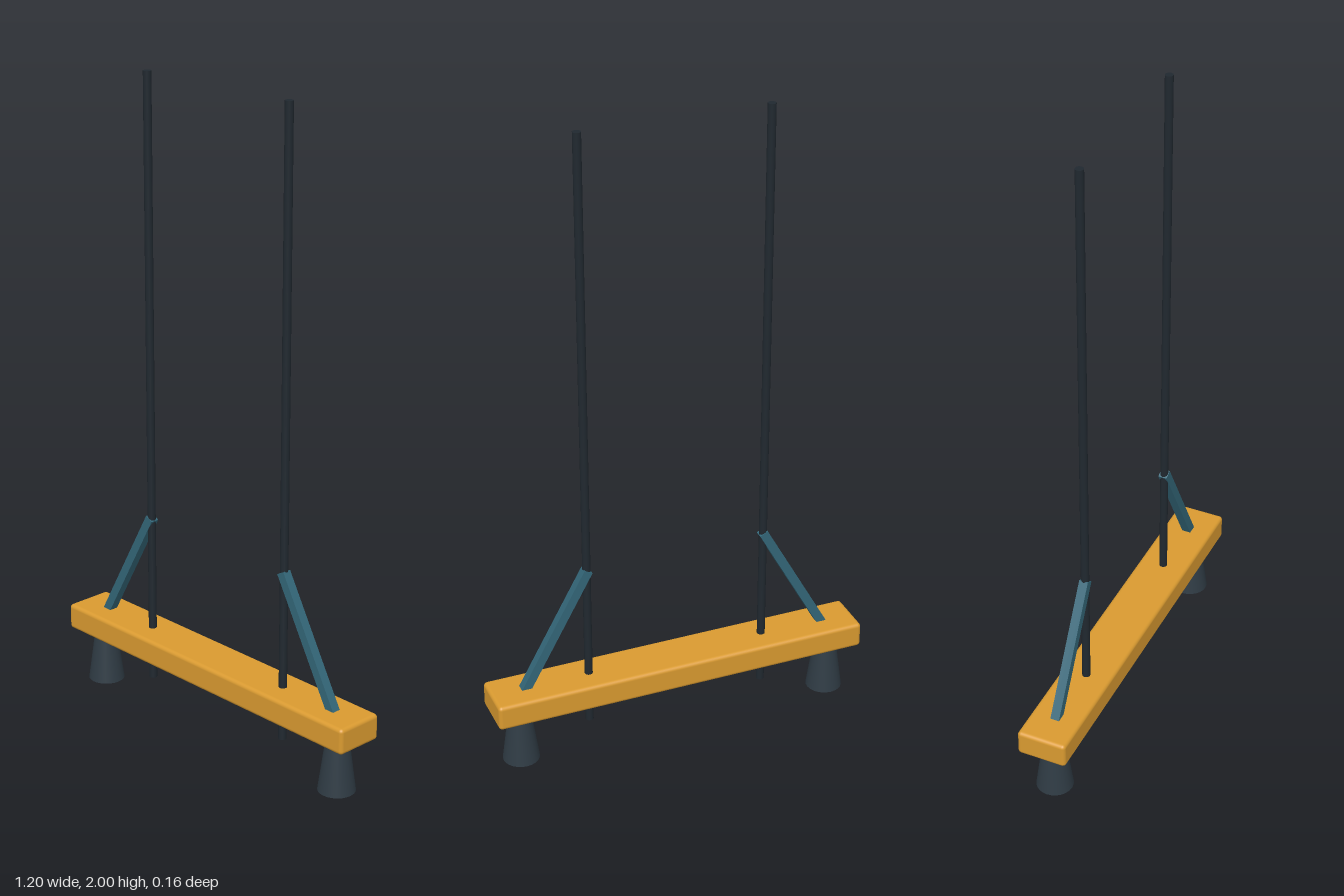
import * as THREE from 'three';
import { RoundedBoxGeometry } from 'three/addons/geometries/RoundedBoxGeometry.js';

export function createModel() {
  const group = new THREE.Group();
  const material = (color) => new THREE.MeshStandardMaterial({ color });
  const wood = material(0xd99a30);
  const steel = material(0x20282f);
  const rubber = material(0x2f3b44);
  const paint = material(0x336678);

  const add = (name, geometry, mat, x, y) => {
    const mesh = new THREE.Mesh(geometry, mat);
    mesh.name = name;
    mesh.position.set(x, y, 0);
    group.add(mesh);
    return mesh;
  };

  // Beam with softly rounded edges
  add('beam', new RoundedBoxGeometry(1.2, 0.082, 0.156, 3, 0.012), wood, 0, 0.209);

  const rodGeometry = new THREE.CylinderGeometry(0.0125, 0.0125, 1.92, 16);
  const footGeometry = new THREE.CylinderGeometry(0.034, 0.057, 0.17, 24);

  // Square brace running from the rod down into the beam
  const top = new THREE.Vector2(0.285, 0.618);
  const bottom = new THREE.Vector2(0.51, 0.213);
  const run = bottom.clone().sub(top);
  const middle = top.clone().add(bottom).multiplyScalar(0.5);
  const braceGeometry = new THREE.BoxGeometry(0.028, run.length(), 0.028);

  for (const side of [1, -1]) {
    const label = side > 0 ? 'left' : 'right';
    add(label + 'Rod', rodGeometry, steel, side * 0.287, 1.04);
    add(label + 'Foot', footGeometry, rubber, side * 0.512, 0.085);
    const brace = add(label + 'Brace', braceGeometry, paint, side * middle.x, middle.y);
    brace.rotation.z = side * Math.atan2(run.x, -run.y);
  }
  return group;
}
